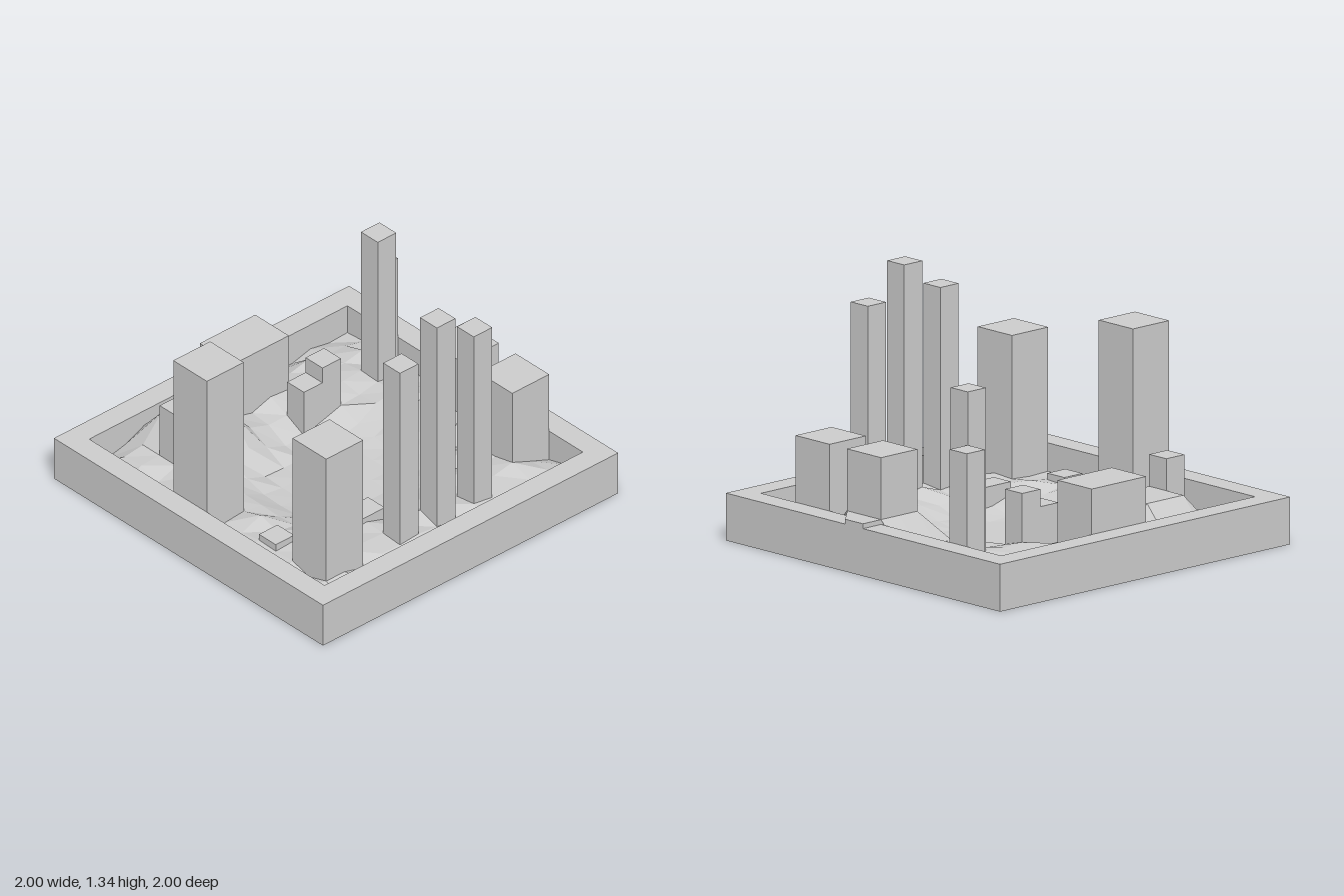
import * as THREE from 'three';
import { mergeGeometries } from 'three/addons/utils/BufferGeometryUtils.js';

const CELL = 0.125, IN = 0.875, RIM = 0.245;
const mat = new THREE.MeshStandardMaterial({ color: 0xcccccc, flatShading: true, side: THREE.DoubleSide });

// name, x0, x1, z0, z1, top height
const blocks = [
  ['frontTower', -0.25, 0, 0.625, 0.875, 1.04],
  ['cornerTower', 0.5, 0.75, 0.5, 0.75, 0.89],
  ['slimTowerFront', 0.625, 0.75, 0.125, 0.25, 1.18],
  ['slimTowerMiddle', 0.625, 0.75, -0.125, 0, 1.34],
  ['slimTowerBack', 0.625, 0.75, -0.375, -0.25, 1.17],
  ['backSlimTower', -0.5, -0.375, -0.75, -0.625, 1.0],
  ['backSmallTower', -0.625, -0.5, -0.875, -0.75, 0.725],
  ['backBlock', 0, 0.25, -0.875, -0.625, 0.59],
  ['backSideBlock', 0.375, 0.625, -0.875, -0.625, 0.59],
  ['sideBlock', -0.875, -0.625, -0.25, 0.125, 0.48],
  ['smallFrontTower', -0.625, -0.5, 0.5, 0.625, 0.46],
  ['stepUpper', -0.5, -0.375, -0.375, -0.25, 0.41],
  ['stepLower', -0.5, -0.375, -0.25, -0.125, 0.32],
  ['lowBlock', 0.375, 0.5, 0.125, 0.375, 0.18],
  ['lowFrontBlock', 0.25, 0.375, 0.625, 0.75, 0.18],
];

function addMesh(group, name, geometry) {
  const mesh = new THREE.Mesh(geometry, mat);
  mesh.name = name;
  group.add(mesh);
}

// Box between two corners, without its underside
function openBox(x0, x1, z0, z1, y0, y1) {
  const geo = new THREE.BoxGeometry(x1 - x0, y1 - y0, z1 - z0);
  geo.translate((x0 + x1) / 2, (y0 + y1) / 2, (z0 + z1) / 2);
  const index = [...geo.index.array];
  index.splice(18, 6);
  geo.setIndex(index);
  return geo;
}

// Four upright walls of a square
function walls(half, height) {
  return mergeGeometries([0, 1, 2, 3].map((i) =>
    new THREE.PlaneGeometry(half * 2, height)
      .translate(0, height / 2, half)
      .rotateY((i * Math.PI) / 2)));
}

// Flat square ring used for the rim top
function rimTop() {
  const s = new THREE.Shape([[-1, -1], [1, -1], [1, 1], [-1, 1]].map((p) => new THREE.Vector2(...p)));
  s.holes.push(new THREE.Path([[-IN, -IN], [-IN, IN], [IN, IN], [IN, -IN]].map((p) => new THREE.Vector2(...p))));
  return new THREE.ShapeGeometry(s).rotateX(-Math.PI / 2).translate(0, RIM, 0);
}

// Distance from a point to a rectangle
function rectDistance(x, z, x0, x1, z0, z1) {
  return Math.hypot(Math.max(x0 - x, 0, x - x1), Math.max(z0 - z, 0, z - z1));
}

// Ground height: a round hollow, a low hill, a raised back pad, sinking at the edges
function groundHeight(x, z) {
  const ring = THREE.MathUtils.smoothstep(Math.hypot(x, z), 0.3, 0.65);
  const edge = THREE.MathUtils.smoothstep(Math.max(Math.abs(x), Math.abs(z)), 0.7, 0.88);
  const ripple = 0.025 * Math.sin(x * 17 + z * 9) * Math.cos(z * 21 - x * 5);
  const base = 0.04 + 0.11 * ring - 0.07 * edge + ripple * ring;
  const hill = 0.295 - 1.1 * rectDistance(x, z, -0.75, -0.5, 0.25, 0.5);
  const pad = 0.27 - 1.1 * rectDistance(x, z, 0, 0.25, -0.875, -0.625);
  return Math.max(0.02, base, hill, pad);
}

function terrain() {
  const n = Math.round((2 * IN) / CELL);
  const geo = new THREE.PlaneGeometry(2 * IN, 2 * IN, n, n).rotateX(-Math.PI / 2);
  const p = geo.attributes.position;
  for (let i = 0; i < p.count; i++) p.setY(i, groundHeight(p.getX(i), p.getZ(i)));
  geo.computeVertexNormals();
  return geo;
}

// Underside made of cells, left open beneath the buildings
function underside() {
  const cells = [];
  for (let x = -IN + CELL / 2; x < IN; x += CELL) {
    for (let z = -IN + CELL / 2; z < IN; z += CELL) {
      const open = blocks.some(([name, x0, x1, z0, z1]) =>
        name !== 'sideBlock' && x > x0 && x < x1 && z > z0 && z < z1);
      if (!open) cells.push(new THREE.PlaneGeometry(CELL, CELL).rotateX(Math.PI / 2).translate(x, 0.002, z));
    }
  }
  return mergeGeometries(cells);
}

export function createModel() {
  const model = new THREE.Group();
  model.name = 'cityTray';

  // Hollow square frame
  const frame = new THREE.Group();
  frame.name = 'frame';
  addMesh(frame, 'outerWalls', walls(1, RIM));
  addMesh(frame, 'innerWalls', walls(IN, RIM));
  addMesh(frame, 'rimTop', rimTop());
  model.add(frame);

  // Ground and base
  addMesh(model, 'terrain', terrain());
  addMesh(model, 'underside', underside());

  // Raised ground spilling over the back rim
  const spill = new THREE.Shape([[0, 0.87], [0.25, 0.87], [0.13, 1], [0, 1]].map((p) => new THREE.Vector2(...p)));
  addMesh(model, 'rimSpill', new THREE.ExtrudeGeometry(spill, { depth: 0.025, bevelEnabled: false })
    .rotateX(-Math.PI / 2).translate(0, RIM, 0));

  // Buildings
  const city = new THREE.Group();
  city.name = 'buildings';
  for (const [name, x0, x1, z0, z1, top] of blocks) addMesh(city, name, openBox(x0, x1, z0, z1, 0.002, top));
  model.add(city);
  return model;
}
